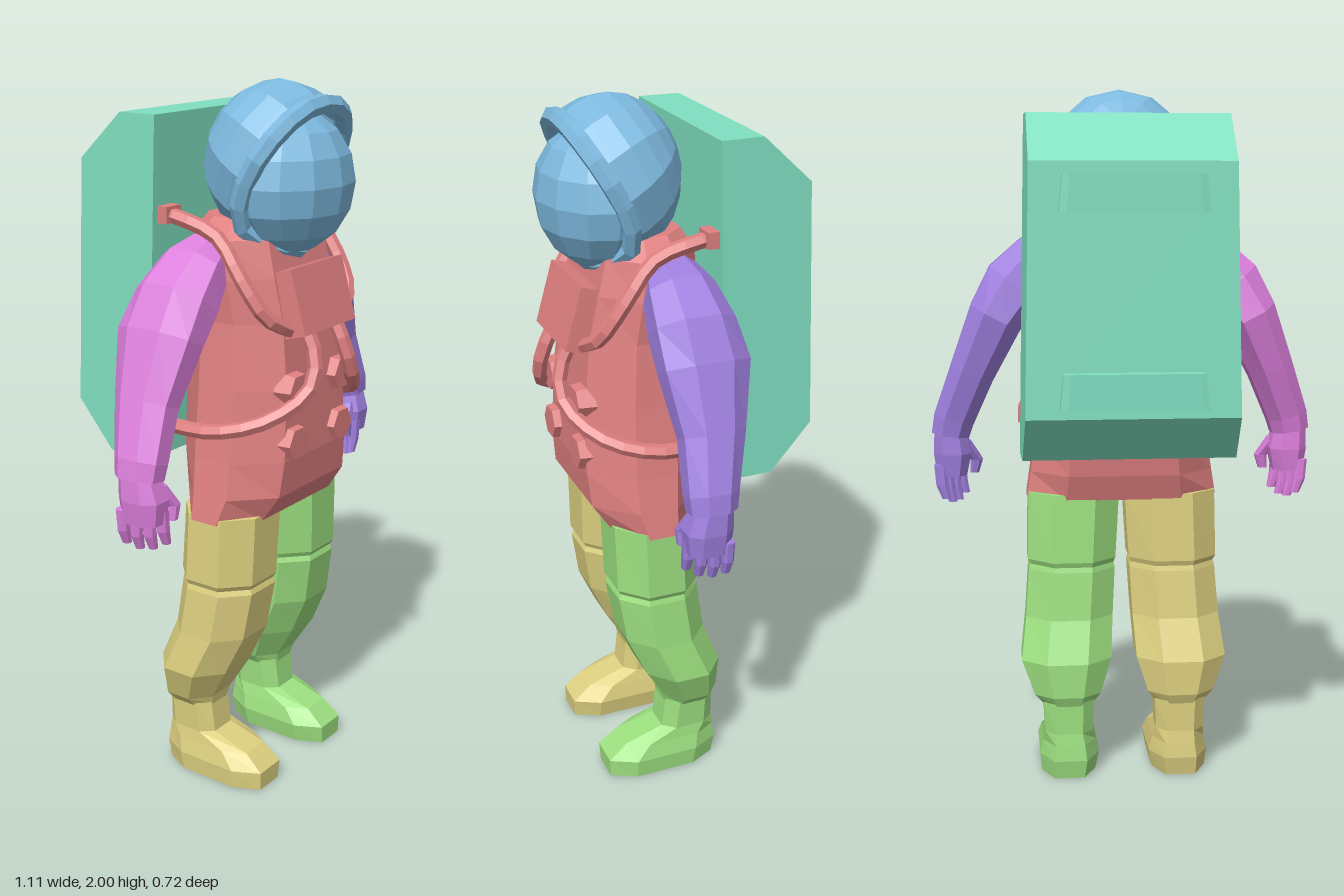
import * as THREE from 'three';

const COLORS = {
  helmet: 0x7db9de, torso: 0xe08080, pack: 0x80dfc0, leftArm: 0xa080e0,
  rightArm: 0xdd80dd, leftLeg: 0x9de080, rightLeg: 0xddd080,
};
const mats = {};
const mat = (k) => (mats[k] ??= new THREE.MeshStandardMaterial({ color: COLORS[k], flatShading: true }));

function add(group, name, geo, key, pos) {
  const m = new THREE.Mesh(geo, mat(key));
  m.name = name;
  if (pos) m.position.set(...pos);
  group.add(m);
  return m;
}

// Closed loft through octagonal rings, listed bottom to top:
// [centre x, y, z, half width, half depth, tilt about z]; ku and kv set the
// share of the width and depth left flat between the cut corners
function loft(rings, side = 1, ku = 0.5, kv = ku) {
  const oct = [[1, kv], [1, -kv], [ku, -1], [-ku, -1], [-1, -kv], [-1, kv], [-ku, 1], [ku, 1]];
  const n = oct.length, pos = [], idx = [];
  for (const [cx, cy, cz, a, b, t = 0] of rings)
    for (const [u, v] of oct)
      pos.push(side * cx + u * a * Math.cos(t * side), cy + u * a * Math.sin(t * side), cz + v * b);
  for (let i = 0; i < rings.length - 1; i++)
    for (let j = 0; j < n; j++) {
      const p = i * n + j, q = i * n + (j + 1) % n;
      idx.push(p, q, p + n, q, q + n, p + n);
    }
  const top = (rings.length - 1) * n;
  for (let j = 1; j < n - 1; j++) idx.push(0, j + 1, j, top, top + j, top + j + 1);
  const g = new THREE.BufferGeometry();
  g.setAttribute('position', new THREE.Float32BufferAttribute(pos, 3));
  g.setIndex(idx);
  g.computeVertexNormals();
  return g;
}

function tube(points, r, side = 1, closed = false, segs = 12) {
  const curve = new THREE.CatmullRomCurve3(points.map(([x, y, z]) => new THREE.Vector3(x * side, y, z)), closed);
  return new THREE.TubeGeometry(curve, segs, r, 6, closed);
}

// Ring given by its extents: y, x range, z range
const span = (y, x0, x1, z0, z1) => [(x0 + x1) / 2, y, (z0 + z1) / 2, (x1 - x0) / 2, (z1 - z0) / 2];

function makeHelmet() {
  const g = new THREE.Group();
  g.name = 'helmet';
  // Shell opens forward and slightly down, where the visor sits
  const shell = new THREE.SphereGeometry(1, 12, 7, 0, Math.PI * 2, 0, Math.PI * 0.6)
    .rotateX(-Math.PI / 2 + 0.48).scale(0.22, 0.22, 0.193);
  add(g, 'helmetShell', shell, 'helmet', [0, 1.783, 0.16]).material.side = THREE.DoubleSide;
  add(g, 'visor', new THREE.SphereGeometry(1, 12, 8).scale(0.2, 0.193, 0.162), 'helmet', [0, 1.737, 0.198]);
  const half = [[0.11, 1.92, 0.28], [0.19, 1.83, 0.232], [0.2, 1.74, 0.185], [0.175, 1.64, 0.16], [0.1, 1.58, 0.195]];
  const mirrored = half.map(([x, y, z]) => [-x, y, z]).reverse();
  add(g, 'visorRim', tube([[0, 1.945, 0.29], ...half, [0, 1.56, 0.225], ...mirrored], 0.027, 1, true, 20), 'helmet');
  return g;
}

function makeTorso() {
  const g = new THREE.Group();
  g.name = 'torso';
  add(g, 'suitBody', loft([
    span(0.825, -0.28, 0.28, -0.01, 0.23), span(0.9, -0.268, 0.268, -0.035, 0.28), span(1.0, -0.252, 0.252, -0.05, 0.29),
    span(1.2, -0.23, 0.23, -0.05, 0.285), span(1.38, -0.215, 0.215, -0.045, 0.265), span(1.5, -0.225, 0.225, -0.04, 0.24),
    span(1.6, -0.215, 0.215, -0.035, 0.215), span(1.65, -0.15, 0.15, -0.01, 0.18),
  ], 1, 0.6, 0.35), 'torso');
  const box = add(g, 'chestUnit', new THREE.BoxGeometry(0.25, 0.18, 0.09), 'torso', [0, 1.43, 0.265]);
  box.rotation.x = -0.28;

  for (const s of [1, -1]) {
    const side = s > 0 ? 'left' : 'right';
    // Hoses from the backpack to the chest unit
    add(g, side + 'UpperHose', tube([[0.24, 1.66, -0.05], [0.24, 1.65, 0.02], [0.225, 1.61, 0.12],
      [0.23, 1.51, 0.2], [0.2, 1.41, 0.26], [0.11, 1.36, 0.28]], 0.021, s), 'torso');
    add(g, side + 'LowerHose', tube([[0.07, 1.36, 0.3], [0.075, 1.28, 0.335], [0.11, 1.2, 0.335],
      [0.21, 1.13, 0.27], [0.275, 1.095, 0.15], [0.282, 1.09, -0.05]], 0.021, s), 'torso');
    add(g, side + 'UpperFitting', new THREE.BoxGeometry(0.06, 0.045, 0.035), 'torso', [0.24 * s, 1.66, -0.03]);
    add(g, side + 'LowerFitting', new THREE.BoxGeometry(0.05, 0.05, 0.035), 'torso', [0.28 * s, 1.09, -0.045]);
    // Hexagonal dials on the belly
    for (const [x, y] of [[0.11, 1.05], [0.11, 1.2]]) {
      const geo = new THREE.CylinderGeometry(0.047, 0.055, 0.05, 6).rotateY(Math.PI / 6).rotateX(Math.PI / 2);
      add(g, side + 'Dial', geo, 'torso', [x * s, y, 0.285]);
    }
  }
  return g;
}

function makeBackpack() {
  const g = new THREE.Group();
  g.name = 'backpack';
  const outline = [[0.06, 0.98], [0.2, 0.98], [0.32, 1.11], [0.3, 1.79], [0.16, 1.92], [0.04, 1.92]];
  const shape = new THREE.Shape(outline.map(([x, y]) => new THREE.Vector2(x, y)));
  const geo = new THREE.ExtrudeGeometry(shape, { depth: 2, bevelEnabled: false }).translate(0, 0, -1).rotateY(Math.PI / 2);
  // Widen the case toward the bottom and narrow it slightly toward the back
  const p = geo.attributes.position;
  for (let i = 0; i < p.count; i++)
    p.setX(i, p.getX(i) * (0.283 + (1.92 - p.getY(i)) * 0.022 + p.getZ(i) * 0.03));
  geo.computeVertexNormals();
  add(g, 'packCase', geo, 'pack');
  for (const [y, z] of [[1.705, -0.315], [1.185, -0.333]])
    add(g, 'packHandle', loft([span(y - 0.05, -0.2, 0.2, z - 0.025, z + 0.04), span(y + 0.05, -0.19, 0.19, z - 0.025, z + 0.04)], 1, 0.9), 'pack');
  return g;
}

function makeArm(s) {
  const side = s > 0 ? 'left' : 'right', key = side + 'Arm';
  const g = new THREE.Group();
  g.name = key;
  add(g, 'sleeve', loft([
    [0.5, 1.015, 0.07, 0.054, 0.064, 0.15], [0.49, 1.06, 0.068, 0.058, 0.07, 0.3], [0.435, 1.2, 0.045, 0.064, 0.086, 0.38],
    [0.365, 1.36, 0.037, 0.078, 0.118, 0.48], [0.305, 1.45, 0.047, 0.092, 0.11, 0.62],
    [0.24, 1.525, 0.055, 0.075, 0.092, 0.85], [0.18, 1.56, 0.055, 0.05, 0.07, 1.2],
  ], s, 0.45), key);
  add(g, 'palm', loft([
    [0.497, 0.895, 0.08, 0.043, 0.056], [0.495, 0.96, 0.08, 0.054, 0.064], [0.5, 1.03, 0.07, 0.046, 0.052],
  ], s), key);
  // Fingers fan from the outer back to the inner front and curl inward
  for (let i = 0; i < 4; i++) {
    const x = 0.53 - i * 0.018, z = 0.035 + i * 0.03, tip = 0.83 - (i === 1 || i === 2 ? 0.015 : 0);
    add(g, 'finger', loft([
      [x - 0.016, tip, z, 0.012, 0.011], [x - 0.004, tip + 0.04, z, 0.017, 0.015], [x, 0.93, z, 0.018, 0.016],
    ], s), key);
  }
  add(g, 'thumb', loft([
    [0.433, 0.89, 0.125, 0.013, 0.013], [0.426, 0.93, 0.122, 0.018, 0.018], [0.465, 0.99, 0.1, 0.022, 0.024],
  ], s), key);
  return g;
}

function makeLeg(s) {
  const key = (s > 0 ? 'left' : 'right') + 'Leg';
  const g = new THREE.Group();
  g.name = key;
  // Trouser leg with a small seam above the knee, reaching up to the crotch
  add(g, 'trouser', loft([
    span(0.22, 0.09, 0.24, -0.07, 0.08), span(0.25, 0.07, 0.265, -0.083, 0.085), span(0.35, 0.038, 0.302, -0.082, 0.145),
    span(0.47, 0.03, 0.287, -0.035, 0.2), span(0.61, 0.022, 0.277, -0.018, 0.222), span(0.625, 0.026, 0.272, -0.014, 0.216),
    span(0.64, 0.02, 0.28, -0.02, 0.225), span(0.84, 0.008, 0.276, -0.01, 0.23),
  ], s, 0.45), key);
  add(g, 'boot', loft([
    span(0, 0.085, 0.245, -0.07, 0.258), span(0.055, 0.075, 0.25, -0.08, 0.26), span(0.1, 0.085, 0.24, -0.075, 0.205),
    span(0.135, 0.095, 0.235, -0.07, 0.09), span(0.23, 0.09, 0.24, -0.07, 0.078),
  ], s, 0.55), key);
  return g;
}

export function createModel() {
  const model = new THREE.Group();
  model.name = 'astronaut';
  model.add(makeHelmet(), makeTorso(), makeBackpack());
  for (const s of [1, -1]) model.add(makeArm(s), makeLeg(s));
  return model;
}
